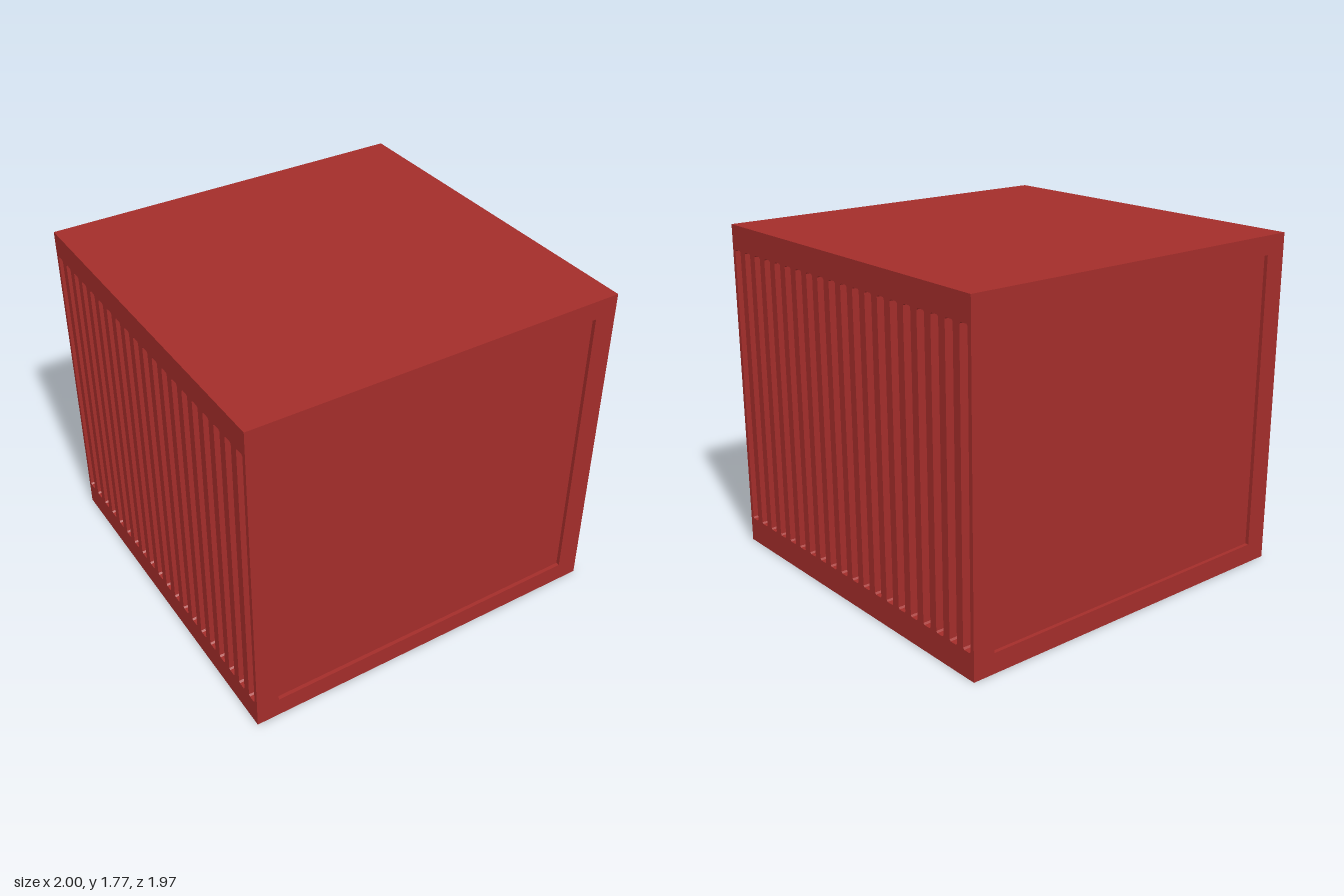
import * as THREE from 'three';
import { mergeGeometries } from 'three/addons/utils/BufferGeometryUtils.js';

const W = 2, H = 1.775, D = 1.97;

// Counter-clockwise rectangle outline with small cut corners
function outline(cx, cy, w, h, cut = 0) {
  const x = w / 2, y = h / 2, c = cut;
  const pts = c
    ? [[-x + c, -y], [x - c, -y], [x, -y + c], [x, y - c], [x - c, y], [-x + c, y], [-x, y - c], [-x, -y + c]]
    : [[-x, -y], [x, -y], [x, y], [-x, y]];
  return pts.map(([a, b]) => new THREE.Vector2(cx + a, cy + b));
}

// Inward-facing walls of a recess sunk below z = 0
function recessWalls(pts, depth) {
  const pos = [];
  pts.forEach((p, i) => {
    const q = pts[(i + 1) % pts.length];
    pos.push(p.x, p.y, 0, q.x, q.y, 0, q.x, q.y, -depth);
    pos.push(p.x, p.y, 0, q.x, q.y, -depth, p.x, p.y, -depth);
  });
  const g = new THREE.BufferGeometry();
  g.setAttribute('position', new THREE.Float32BufferAttribute(pos, 3));
  g.computeVertexNormals();
  return g;
}

// Flat wall facing +z with sunken recesses
function recessedWall(w, h, recesses, depth) {
  const face = new THREE.Shape(outline(0, 0, w, h));
  const parts = [];
  for (const pts of recesses) {
    face.holes.push(new THREE.Path(pts));
    parts.push(recessWalls(pts, depth));
    parts.push(new THREE.ShapeGeometry(new THREE.Shape(pts)).translate(0, 0, -depth));
  }
  parts.push(new THREE.ShapeGeometry(face));
  return mergeGeometries(parts.map((g) => {
    const flat = g.index ? g.toNonIndexed() : g;
    flat.deleteAttribute('uv');
    return flat;
  }));
}

export function createModel() {
  const group = new THREE.Group();
  const red = new THREE.MeshStandardMaterial({ color: 0xa32d2a });
  const add = (name, geometry, x, y, z, rx, ry) => {
    const mesh = new THREE.Mesh(geometry, red);
    mesh.name = name;
    mesh.position.set(x, y, z);
    mesh.rotation.set(rx, ry, 0);
    group.add(mesh);
  };

  // Front and back: one large shallow panel each
  const panelWall = recessedWall(W, H, [outline(0, 0.003, 1.76, 1.57)], 0.02);
  add('frontPanel', panelWall, 0, H / 2, D / 2, 0, 0);
  add('backPanel', panelWall, 0, H / 2, -D / 2, 0, Math.PI);

  // Sides: a row of upright grooves
  const count = 20, pitch = D / count, slots = [];
  for (let i = 0; i < count; i++) {
    slots.push(outline((i + 0.5) * pitch - D / 2, 0.003, 0.054, 1.51, 0.008));
  }
  const groovedWall = recessedWall(D, H, slots, 0.05);
  add('leftGroovedSide', groovedWall, W / 2, H / 2, 0, 0, Math.PI / 2);
  add('rightGroovedSide', groovedWall, -W / 2, H / 2, 0, 0, -Math.PI / 2);

  // Plain roof and floor
  const plain = new THREE.PlaneGeometry(W, D);
  add('roof', plain, 0, H, 0, -Math.PI / 2, 0);
  add('floor', plain, 0, 0, 0, Math.PI / 2, 0);

  return group;
}
